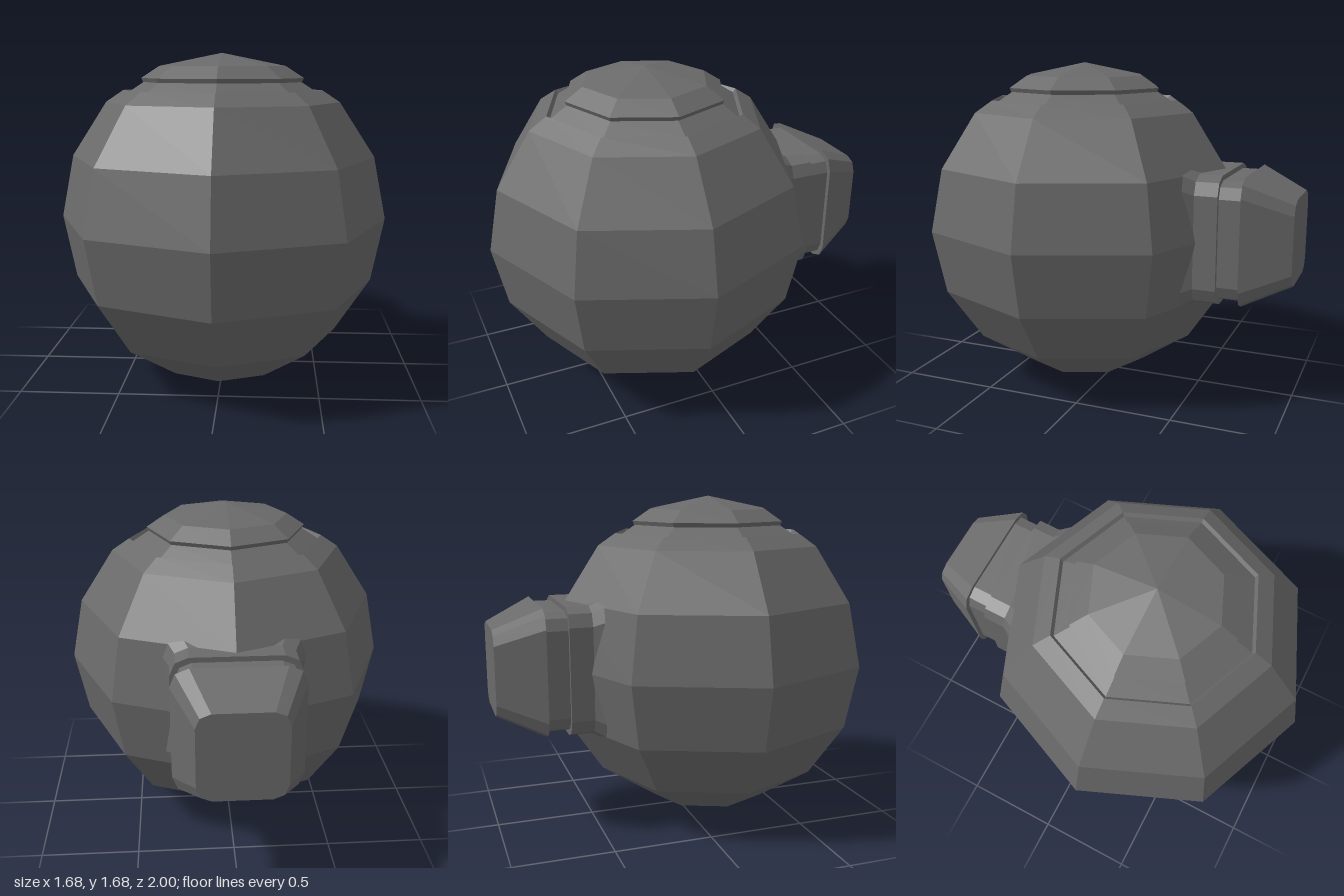
import * as THREE from 'three';

const material = new THREE.MeshStandardMaterial({ color: 0x6a6a6a, flatShading: true });

function part(name, geometry) {
  const mesh = new THREE.Mesh(geometry, material);
  mesh.name = name;
  return mesh;
}

// Eight-sided turned shape from [radius, y] pairs, bottom to top
function turned(profile) {
  const points = profile.map(([r, y]) => new THREE.Vector2(r, y));
  return new THREE.LatheGeometry(points, 8).toNonIndexed();
}

// Rectangle with two-step rounded corners, counter-clockwise seen from +z
function roundedRing([z, w, h, r], centreY) {
  const ring = [];
  for (let corner = 0; corner < 4; corner++) {
    const sx = corner === 0 || corner === 3 ? 1 : -1;
    const sy = corner < 2 ? 1 : -1;
    for (let step = 0; step < 3; step++) {
      const a = corner * Math.PI / 2 + step * Math.PI / 4;
      ring.push([sx * (w - r) + r * Math.cos(a), centreY + sy * (h - r) + r * Math.sin(a), z]);
    }
  }
  return ring;
}

// Loft towards -z; sections are [z, halfWidth, halfHeight, cornerRadius]
function lofted(sections, centreY) {
  const rings = sections.map((section) => roundedRing(section, centreY));
  const count = rings[0].length;
  const positions = [];
  const triangle = (a, b, c) => positions.push(...a, ...b, ...c);
  for (let i = 0; i < rings.length - 1; i++) {
    const near = rings[i], far = rings[i + 1];
    for (let j = 0; j < count; j++) {
      const k = (j + 1) % count;
      triangle(near[j], far[j], near[k]);
      triangle(near[k], far[j], far[k]);
    }
  }
  // End cap facing -z
  const end = rings[rings.length - 1];
  for (let j = 1; j < count - 1; j++) triangle(end[0], end[j + 1], end[j]);
  const geometry = new THREE.BufferGeometry();
  geometry.setAttribute('position', new THREE.Float32BufferAttribute(positions, 3));
  geometry.computeVertexNormals();
  return geometry;
}

export function createModel() {
  const model = new THREE.Group();
  model.name = 'roundVessel';

  // Faceted ball with a shallow groove and a sloping neck at the top
  const body = part('body', turned([
    [0, 0], [0.32, 0.07], [0.595, 0.25], [0.775, 0.52], [0.84, 0.845],
    [0.775, 1.165], [0.595, 1.44], [0.505, 1.5], [0.49, 1.482], [0.4, 1.54],
  ]));

  // Low lid with a thin undercut rim
  const lid = part('lid', turned([
    [0.36, 1.54], [0.403, 1.54], [0.412, 1.56], [0.32, 1.62], [0, 1.685],
  ]));
  body.position.z = lid.position.z = 0.16;

  // Rear neck: flared root, collar, recessed band and tapering plug
  const spout = part('rearSpout', lofted([
    [-0.47, 0.35, 0.36, 0.1],
    [-0.54, 0.31, 0.322, 0.09],
    [-0.655, 0.31, 0.322, 0.09],
    [-0.655, 0.286, 0.297, 0.08],
    [-0.765, 0.286, 0.297, 0.08],
    [-0.765, 0.31, 0.32, 0.09],
    [-1, 0.205, 0.215, 0.07],
  ], 0.845));

  model.add(body, lid, spout);
  return model;
}
